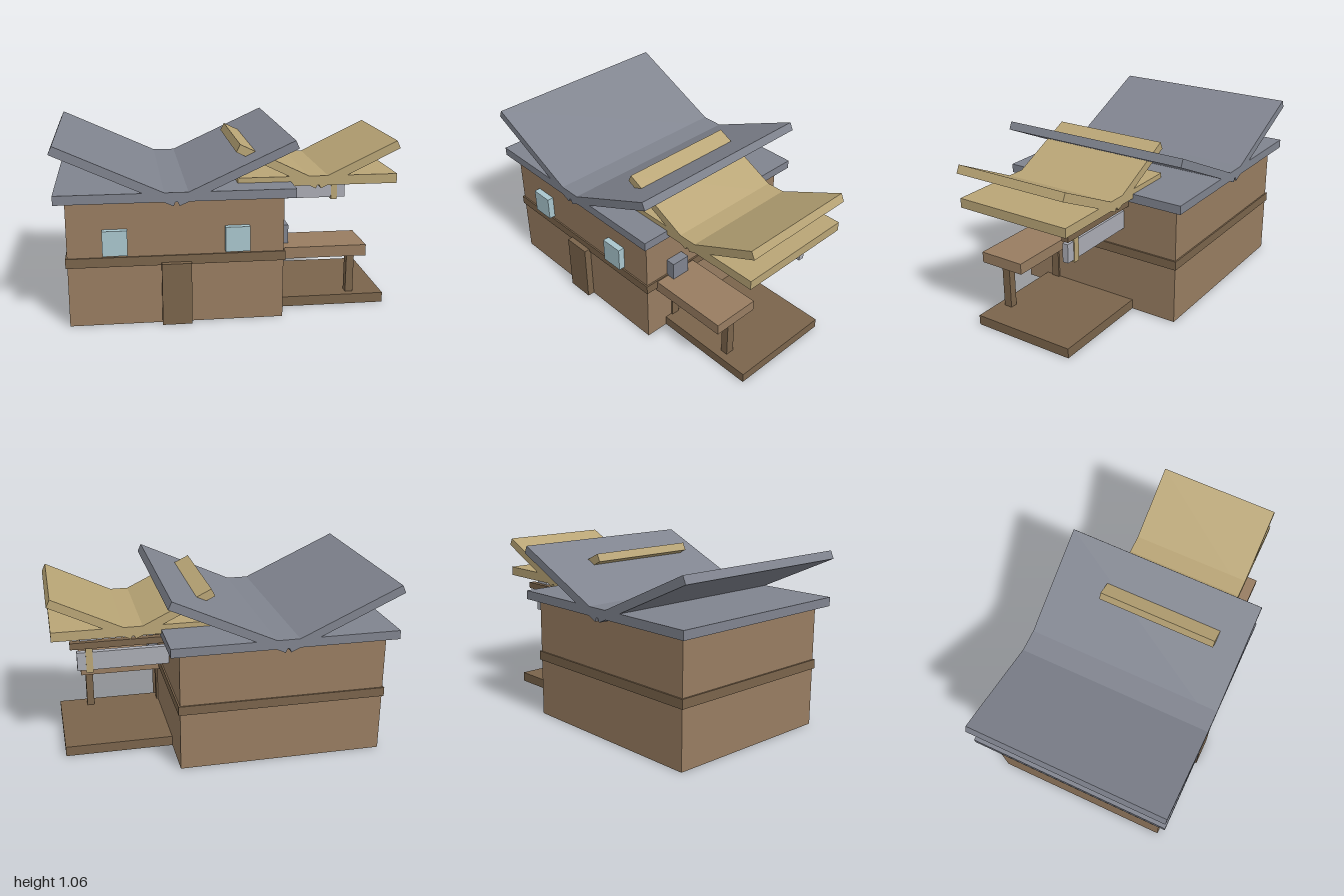
import * as THREE from 'three';

const mat = (color) => new THREE.MeshStandardMaterial({ color, flatShading: true });

export function createModel() {
  const group = new THREE.Group();
  const wall = mat(0x987d61), timber = mat(0x7a644b), slate = mat(0x80848f);
  const straw = mat(0xb9a576), stone = mat(0xaaacb4), glass = mat(0xa9c6ce);

  // Box given by its extents along x, y and z
  function block(name, material, [x0, x1], [y0, y1], [z0, z1]) {
    const mesh = new THREE.Mesh(new THREE.BoxGeometry(x1 - x0, y1 - y0, z1 - z0), material);
    mesh.name = name;
    mesh.position.set((x0 + x1) / 2, (y0 + y1) / 2, (z0 + z1) / 2);
    group.add(mesh);
  }

  // Two tilted slabs rising outward from a valley; inner and outer are lower corners
  function butterflyRoof(name, material, cx, inner, outer, thickness, [z0, z1]) {
    const roof = new THREE.Group();
    roof.name = name;
    const dx = outer[0] - inner[0], dy = outer[1] - inner[1];
    const angle = Math.atan2(dy, dx);
    const geometry = new THREE.BoxGeometry(Math.hypot(dx, dy), thickness, z1 - z0);
    for (const side of [-1, 1]) {
      const wing = new THREE.Mesh(geometry, material);
      wing.name = side < 0 ? 'rightRoofWing' : 'leftRoofWing';
      const mx = (inner[0] + outer[0]) / 2 - Math.sin(angle) * thickness / 2;
      const my = (inner[1] + outer[1]) / 2 + Math.cos(angle) * thickness / 2;
      wing.position.set(cx + side * mx, my, (z0 + z1) / 2);
      wing.rotation.z = side * angle;
      roof.add(wing);
    }
    group.add(roof);
  }

  // House
  block('houseBody', wall, [-0.93, 0.297], [0, 0.73], [-0.543, 0.543]);
  block('floorBand', timber, [-0.94, 0.307], [0.35, 0.405], [-0.552, 0.552]);
  block('door', timber, [-0.404, -0.235], [0, 0.365], [0.5, 0.587]);
  for (const x of [-0.663, 0.027])
    block('window', glass, [x - 0.07, x + 0.07], [0.423, 0.568], [0.5, 0.582]);

  // Main roof
  block('mainRoofSlab', slate, [-0.99, 0.355], [0.73, 0.783], [-0.6, 0.6]);
  butterflyRoof('mainRoof', slate, -0.318, [0.017, 0.705], [0.682, 1.01], 0.05, [-0.6, 0.6]);

  // Side roof
  block('sideRoofSlab', straw, [0.045, 0.985], [0.757, 0.813], [-0.289, 0.434]);
  butterflyRoof('sideRoof', straw, 0.517, [0.015, 0.738], [0.481, 0.963], 0.05, [-0.289, 0.434]);

  // Balcony, its posts and the platform beneath
  block('platform', timber, [0.29, 0.945], [0, 0.06], [-0.251, 0.399]);
  block('balcony', wall, [0.29, 0.805], [0.33, 0.397], [0.183, 0.473]);
  for (const x of [0.285, 0.748])
    block('balconyPost', timber, [x - 0.023, x + 0.023], [0.03, 0.335], [0.302, 0.354]);
  block('balconyBox', slate, [0.26, 0.355], [0.395, 0.508], [0.27, 0.386]);

  // Crane-like beams under the side roof
  block('longBeam', stone, [0.29, 0.842], [0.525, 0.637], [-0.19, -0.154]);
  block('railBeam', timber, [0.29, 0.88], [0.672, 0.712], [-0.222, -0.18]);
  block('hanger', straw, [0.75, 0.79], [0.51, 0.69], [-0.195, -0.15]);
  block('outerBracket', stone, [0.723, 0.82], [0.684, 0.758], [-0.193, -0.151]);
  block('innerBracket', stone, [0.25, 0.347], [0.665, 0.72], [-0.193, -0.151]);

  return group;
}
